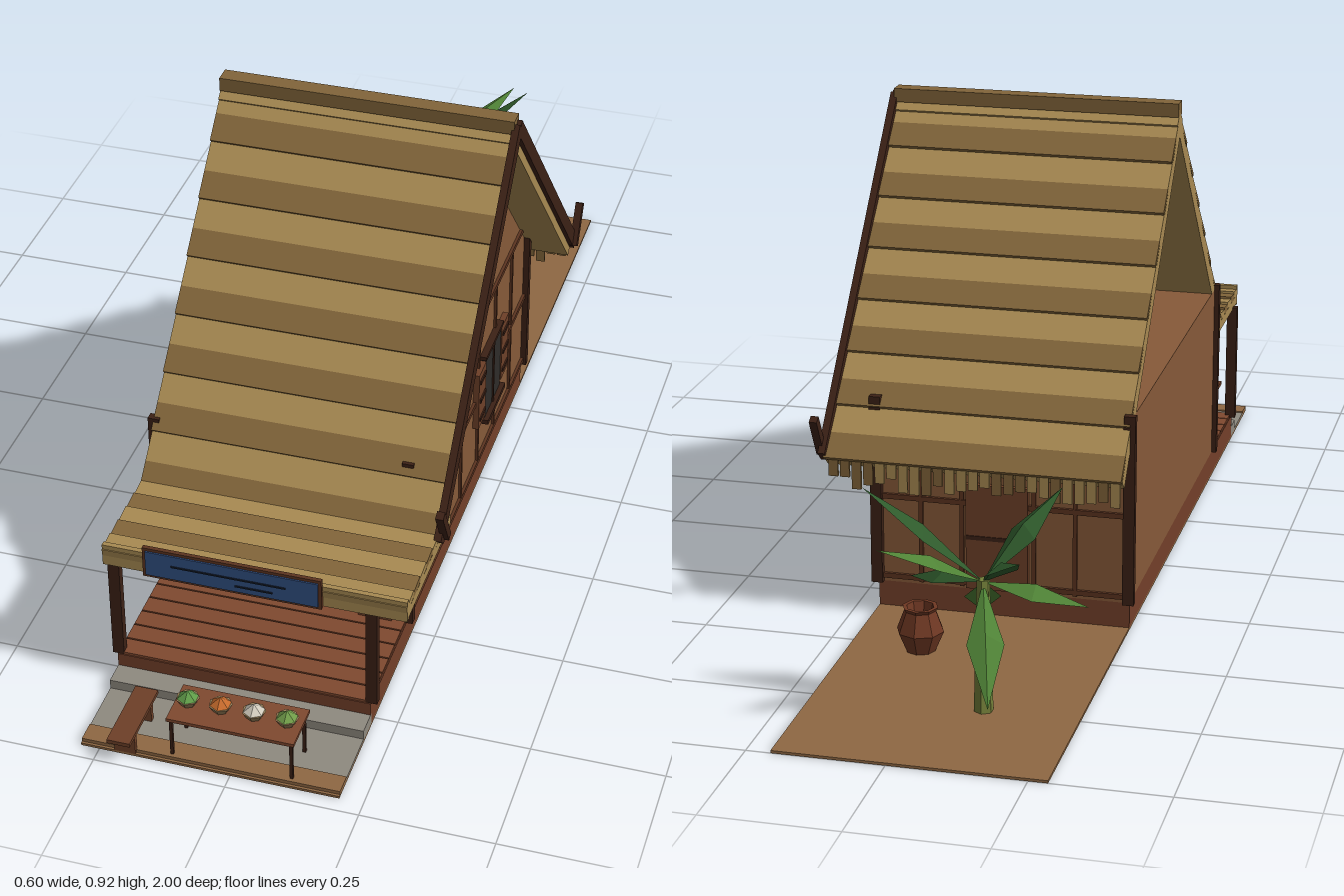
import * as THREE from 'three';

const C = {
  earth: 0x8f6843, stone: 0x8f8a80, plinth: 0x74402a, deck: 0x80492f, wall: 0x875a39, gable: 0x875a39,
  timber: 0x3c2116, lattice: 0x5c3420, recess: 0x4e2c20, panel: 0x6e4028, thatch: 0xa88a52, thatchDark: 0x82653a,
  glass: 0x2e2c2a, blue: 0x315083, ink: 0x182030, leaf: 0x4f8236, leafDark: 0x2f5a2c, stem: 0x74803a, clay: 0x6f3823,
};
const mats = {};
const mat = (c, double) => mats[c + (double ? 'd' : '')] ??= new THREE.MeshStandardMaterial({
  color: c, flatShading: true, side: double ? THREE.DoubleSide : THREE.FrontSide });

function add(parent, name, geo, color, x = 0, y = 0, z = 0, double = false) {
  const m = new THREE.Mesh(geo, mat(color, double));
  m.name = name;
  m.position.set(x, y, z);
  parent.add(m);
  return m;
}
// Box given by its extents on each axis
const box = (p, name, color, x0, x1, y0, y1, z0, z1) =>
  add(p, name, new THREE.BoxGeometry(x1 - x0, y1 - y0, z1 - z0), color, (x0 + x1) / 2, (y0 + y1) / 2, (z0 + z1) / 2);

function group(parent, name) {
  const g = new THREE.Group();
  g.name = name;
  parent.add(g);
  return g;
}
let seed = 7;
const rnd = () => (seed = (seed * 16807) % 2147483647) / 2147483647;

const L = -0.285, R = 0.205, BACK = -0.335, FRONT = 0.53, RIDGE_Z = 0.1;

function buildSite(root) {
  const g = group(root, 'site');
  box(g, 'ground', C.earth, L, R, 0, 0.005, -1, 0.97);
  box(g, 'paving', C.stone, L, R, 0.005, 0.009, 0.77, 0.925);
  box(g, 'step', C.stone, L, R, 0.005, 0.028, 0.77, 0.82);
  box(g, 'curb', C.earth, L, R, 0.005, 0.012, 0.925, 0.965);
  box(g, 'plinth', C.plinth, L, R, 0.005, 0.055, BACK, 0.775);
  for (let i = 0; i < 6; i++)
    box(g, 'deckBoard', C.deck, L + 0.002, R - 0.002, 0.055, 0.06, FRONT + i * 0.041, FRONT + i * 0.041 + 0.038);
}

function buildHouse(root) {
  const g = group(root, 'house');
  box(g, 'body', C.wall, L, R, 0.055, 0.42, BACK, FRONT);
  // Gable panel on the window side
  const s = new THREE.Shape([[-FRONT, 0.42], [-BACK, 0.42], [-RIDGE_Z, 0.875]].map(p => new THREE.Vector2(...p)));
  const gable = add(g, 'gable', new THREE.ExtrudeGeometry(s, { depth: 0.015, bevelEnabled: false }), C.gable, R - 0.015);
  gable.rotation.y = Math.PI / 2;
  // Timber lattice on the window side
  for (let i = 0; i < 6; i++) {
    const z = 0.42 - i * 0.128;
    box(g, 'sideStud', C.lattice, R, R + 0.005, 0.06, 0.42, z - 0.004, z + 0.004);
  }
  for (const y of [0.068, 0.23, 0.415]) {
    box(g, 'sideRail', C.lattice, R, R + 0.006, y - 0.005, y + 0.005, BACK, FRONT);
    box(g, 'backRail', C.lattice, L, R, y - 0.005, y + 0.005, BACK - 0.006, BACK);
  }
  for (const x of [-0.18, -0.1, 0.04, 0.12])
    box(g, 'backStud', C.lattice, x - 0.004, x + 0.004, 0.06, 0.42, BACK - 0.005, BACK);
  box(g, 'backDoor', C.panel, -0.09, 0.03, 0.06, 0.27, BACK - 0.012, BACK);
  box(g, 'backDoorRail', C.timber, -0.09, 0.03, 0.16, 0.168, BACK - 0.014, BACK);
  // Window with open shutters
  box(g, 'windowPane', C.glass, R, R + 0.01, 0.16, 0.305, -0.11, 0.01);
  box(g, 'windowMullion', C.timber, R, R + 0.013, 0.16, 0.305, -0.053, -0.047);
  box(g, 'windowSill', C.timber, R, R + 0.02, 0.15, 0.16, -0.118, 0.018);
  box(g, 'windowLintel', C.timber, R, R + 0.014, 0.305, 0.313, -0.118, 0.018);
  for (const z of [0.012, -0.165]) {
    box(g, 'shutter', C.panel, R, R + 0.012, 0.17, 0.3, z, z + 0.053);
    for (const y of [0.19, 0.235, 0.28])
      box(g, 'shutterBatten', C.timber, R, R + 0.015, y - 0.004, y + 0.004, z + 0.006, z + 0.047);
  }
  // Shop front with folded door leaves
  box(g, 'shopOpening', C.recess, -0.185, 0.115, 0.06, 0.33, FRONT, FRONT + 0.005);
  for (const [x0, x1] of [[-0.255, -0.187], [0.112, 0.178]]) {
    box(g, 'doorLeaf', C.panel, x0, x1, 0.06, 0.33, FRONT, FRONT + 0.018);
    box(g, 'doorHandle', C.timber, (x0 + x1) / 2 - 0.012, (x0 + x1) / 2 + 0.012, 0.2, 0.205, FRONT, FRONT + 0.022);
  }
  for (const x of [-0.262, 0.186])
    box(g, 'doorJamb', C.timber, x - 0.006, x + 0.006, 0.06, 0.33, FRONT, FRONT + 0.012);
  // Corner and porch posts
  for (const x of [L, R])
    for (const [z, top] of [[BACK - 0.005, 0.43], [FRONT + 0.002, 0.43], [0.765, 0.31]])
      box(g, 'post', C.timber, x - 0.01, x + 0.012, 0.055, top, z - 0.008, z + 0.008);
}

function buildRoof(root) {
  const roof = group(root, 'roof');
  const W = 0.57, LEN = 0.775, N = 7, step = LEN / N, angle = Math.atan2(0.575, 0.52);
  for (const side of [1, -1]) {
    // Slope frame: local +z runs down the roof, local +y points out of it
    const g = group(roof, side > 0 ? 'frontSlope' : 'backSlope');
    g.rotation.order = 'YXZ';
    g.rotation.set(angle, side > 0 ? 0 : Math.PI, 0);
    g.position.set(0, 0.905, RIDGE_Z);
    box(g, 'thatchBase', C.thatch, -W / 2, W / 2, -0.035, -0.008, 0, LEN);
    for (let i = 0; i < N; i++) {
      const course = group(g, 'thatchCourse');
      course.position.set(0, -0.004, i * step);
      course.rotation.x = -0.07;
      box(course, 'upperBand', C.thatch, -W / 2, W / 2, -0.008, 0, 0, step * 0.55);
      box(course, 'lowerBand', C.thatchDark, -W / 2, W / 2, -0.008, 0, step * 0.55, step + 0.004);
    }
    const bx = side * 0.287;
    box(g, 'bargeboard', C.timber, bx - 0.007, bx + 0.007, -0.017, 0.012, 0, LEN);
    // Crossed finial at the eave
    const horn = box(roof, 'eaveHorn', C.timber, 0.288, 0.303, 0.325, 0.415, -0.008, 0.008);
    horn.position.z = RIDGE_Z + side * 0.52;
    horn.rotation.x = side * 0.5;
    // Ragged fringe under the eave
    const fringe = group(roof, 'thatchFringe');
    for (let x = -W / 2 + 0.012; x < W / 2; x += 0.0225) {
      const h = 0.265 + rnd() * 0.03;
      box(fringe, 'fringeTuft', rnd() < 0.5 ? C.thatch : C.thatchDark, x - 0.009, x + 0.009, h, 0.335,
        RIDGE_Z + side * 0.515 - 0.003, RIDGE_Z + side * 0.515 + 0.003);
    }
  }
  box(roof, 'ridgeCap', C.thatchDark, -W / 2, W / 2, 0.895, 0.922, RIDGE_Z - 0.017, RIDGE_Z + 0.017);

  // Porch canopy of overlapping strips
  const porch = group(root, 'porchRoof');
  box(porch, 'canopy', C.thatch, -W / 2, W / 2, 0.305, 0.325, FRONT, 0.815);
  for (let i = 0; i < 5; i++) {
    const z = 0.61 + i * 0.041;
    const strip = box(porch, 'canopyStrip', i % 2 ? C.thatchDark : C.thatch, -W / 2, W / 2, 0.325, 0.339, z, z + 0.043);
    strip.rotation.x = 0.12;
  }
  box(porch, 'canopyFascia', C.thatch, -W / 2, W / 2, 0.302, 0.346, 0.806, 0.816);
  const sign = group(porch, 'signboard');
  box(sign, 'signFrame', C.lattice, -0.205, 0.13, 0.3, 0.364, 0.816, 0.824);
  box(sign, 'signFace', C.blue, -0.199, 0.124, 0.306, 0.358, 0.82, 0.827);
  box(sign, 'signLine', C.ink, -0.15, 0.065, 0.334, 0.337, 0.826, 0.829);
  box(sign, 'signLine', C.ink, -0.03, 0.04, 0.318, 0.321, 0.826, 0.829);
}

function buildStall(root) {
  const g = group(root, 'foodStall');
  box(g, 'tableTop', C.deck, -0.12, 0.12, 0.095, 0.102, 0.87, 0.965);
  for (const x of [-0.114, 0.112])
    for (const z of [0.88, 0.955]) box(g, 'tableLeg', C.timber, x - 0.003, x + 0.003, 0.009, 0.095, z - 0.003, z + 0.003);
  [[-0.095, 0x5f9a48], [-0.033, 0xc46a2c], [0.03, 0xd0cabc], [0.092, 0x6f9a48]].forEach(([x, c]) => {
    add(g, 'bowl', new THREE.CylinderGeometry(0.022, 0.014, 0.014, 7), 0x9a8058, x, 0.109, 0.915);
    add(g, 'produce', new THREE.ConeGeometry(0.02, 0.016, 6), c, x, 0.124, 0.915);
  });
  // Low bench beside the table
  box(g, 'benchTop', C.panel, -0.222, -0.178, 0.048, 0.056, 0.85, 1);
  for (const z of [0.88, 0.965]) box(g, 'benchLeg', C.panel, -0.22, -0.18, 0.005, 0.048, z - 0.005, z + 0.005);
}

// Folded leaf: a diamond with a raised midrib, from base to tip
function leafGeometry(base, tip, width) {
  const side = new THREE.Vector3().subVectors(tip, base).cross(new THREE.Vector3(0, 1, 0)).setLength(width);
  const mid = base.clone().lerp(tip, 0.5);
  const a = mid.clone().add(side), b = mid.clone().sub(side);
  mid.y += 0.02;
  const geo = new THREE.BufferGeometry().setFromPoints([base, a, mid, a, tip, mid, tip, b, mid, b, base, mid]);
  geo.computeVertexNormals();
  return geo;
}

function buildYard(root) {
  const plant = group(root, 'leafyPlant');
  plant.position.set(-0.11, 0, -0.755);
  add(plant, 'stem', new THREE.CylinderGeometry(0.012, 0.018, 0.25, 6), C.stem, 0, 0.13, 0);
  const tips = [[0.2, 0.43, -0.06], [0.14, 0.365, -0.18], [0.165, 0.2, 0.115], [0.05, 0.115, 0.185],
    [-0.11, 0.385, 0.14], [-0.19, 0.22, 0], [-0.09, 0.33, -0.1], [-0.05, 0.085, -0.165]];
  tips.forEach((t, i) => add(plant, 'leaf',
    leafGeometry(new THREE.Vector3(0, 0.25, 0), new THREE.Vector3(...t), 0.033),
    i % 2 ? C.leaf : C.leafDark, 0, 0, 0, true));
  // Clay water jar
  const profile = [[0, 0.005], [0.028, 0.005], [0.045, 0.045], [0.03, 0.085], [0.034, 0.092], [0.026, 0.092], [0.022, 0.07], [0, 0.07]];
  add(root, 'waterJar', new THREE.LatheGeometry(profile.map(p => new THREE.Vector2(...p)), 8), C.clay, 0.07, 0, -0.525);
}

export function createModel() {
  const root = new THREE.Group();
  root.name = 'thatchedShopHouse';
  seed = 7;
  for (const build of [buildSite, buildHouse, buildRoof, buildStall, buildYard]) build(root);
  return root;
}
